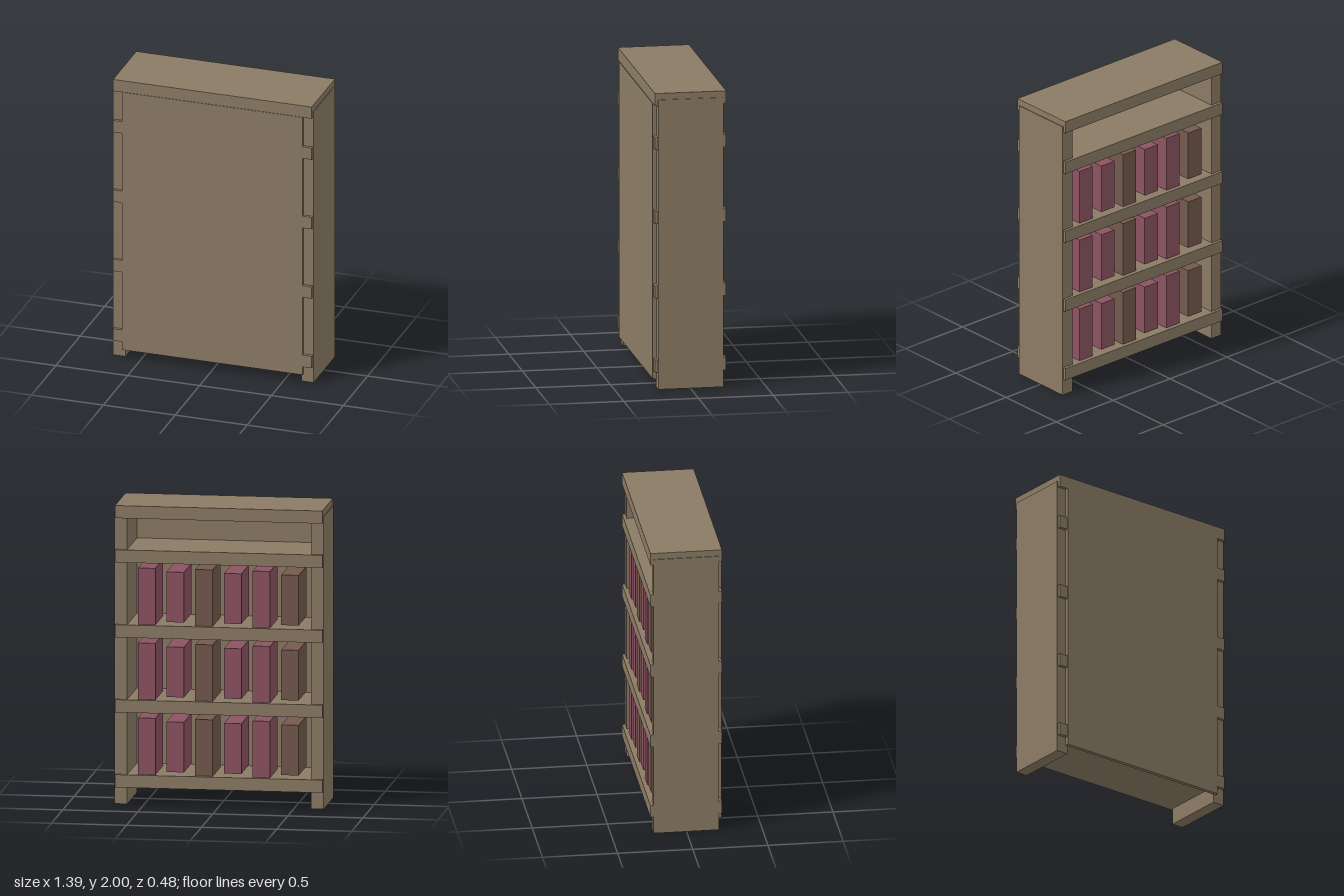
import * as THREE from 'three';

const wood = new THREE.MeshStandardMaterial({ name: 'brown wood', color: 0x8b7b64 });
const rose = new THREE.MeshStandardMaterial({ name: 'rose cover', color: 0x8b5362 });
const umber = new THREE.MeshStandardMaterial({ name: 'umber cover', color: 0x74594d });

// Box given by its [min, max] range on each axis
function box(name, material, [x0, x1], [y0, y1], [z0, z1]) {
  const mesh = new THREE.Mesh(new THREE.BoxGeometry(x1 - x0, y1 - y0, z1 - z0), material);
  mesh.name = name;
  mesh.position.set((x0 + x1) / 2, (y0 + y1) / 2, (z0 + z1) / 2);
  return mesh;
}

export function createModel() {
  const model = new THREE.Group();
  model.name = 'bookcase';

  // Upright sides, reaching the floor
  model.add(box('leftSide', wood, [0.612, 0.697], [0, 1.957], [-0.22, 0.215]));
  model.add(box('rightSide', wood, [-0.697, -0.612], [0, 1.957], [-0.22, 0.215]));

  // Closed panel on the +z face; the shelves open towards -z
  model.add(box('panel', wood, [-0.628, 0.628], [0.057, 1.918], [0.215, 0.24]));

  // Shelves and top board, poking out past the sides
  const shelfTops = [0.198, 0.7, 1.202, 1.704];
  for (const y of shelfTops) {
    model.add(box('shelf', wood, [-0.691, 0.691], [y - 0.085, y], [-0.24, 0.236]));
  }
  model.add(box('topBoard', wood, [-0.691, 0.691], [1.916, 2], [-0.24, 0.236]));

  // Six books on each of the three lower shelves; every second one is shorter
  for (const y of shelfTops.slice(0, 3)) {
    const row = new THREE.Group();
    row.name = 'bookRow';
    for (let i = 0; i < 6; i++) {
      const x = 0.484 - i * 0.191;
      const half = i % 2 ? 0.168 : 0.189;
      const middle = y + 0.19;
      row.add(box('book', i % 3 === 2 ? umber : rose,
        [x - 0.058, x + 0.058], [middle - half, middle + half], [-0.213, 0.13]));
    }
    model.add(row);
  }
  return model;
}
